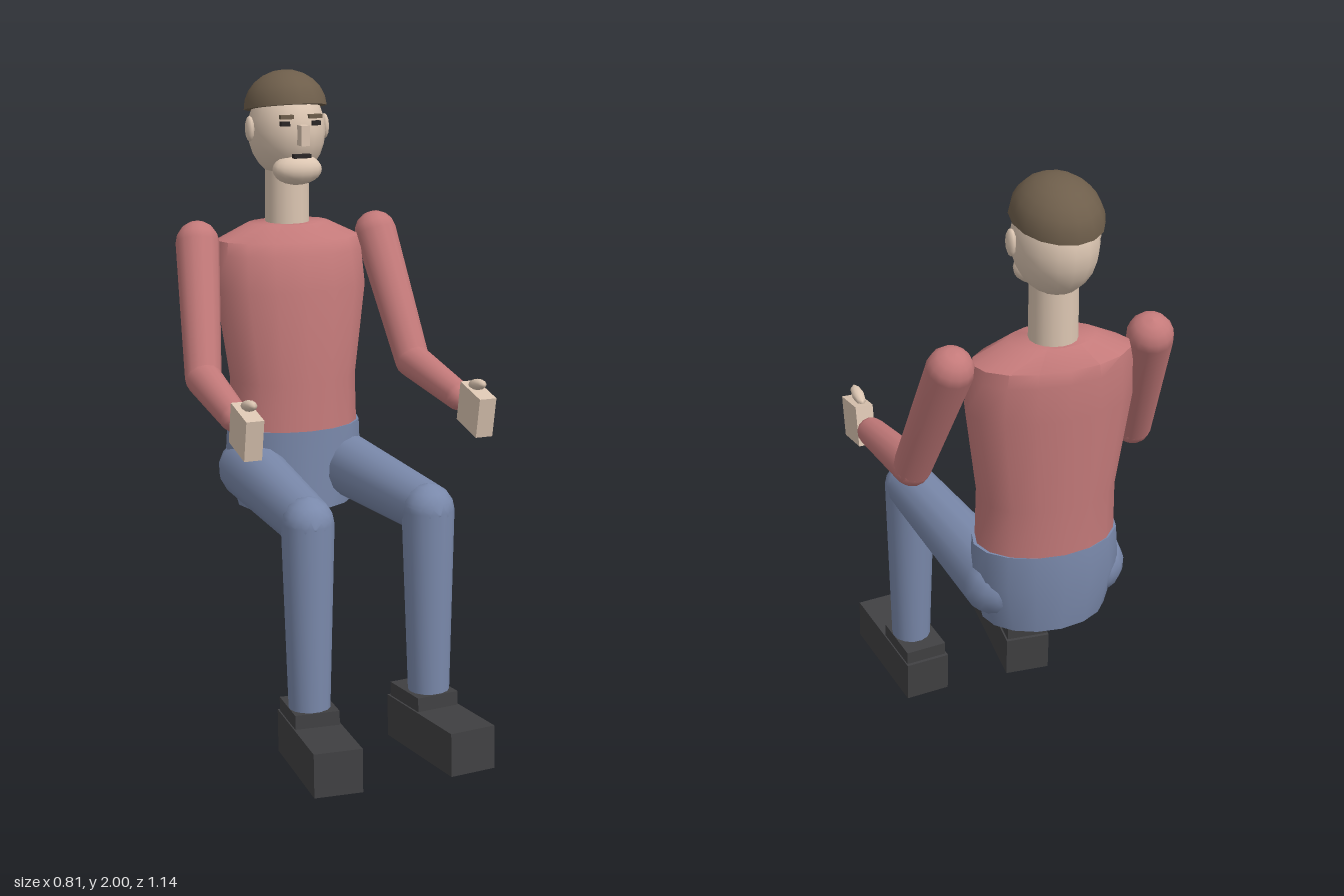
import * as THREE from 'three';
import { toCreasedNormals } from 'three/addons/utils/BufferGeometryUtils.js';

const mat = (color) => new THREE.MeshStandardMaterial({ color });

export function createModel() {
  const model = new THREE.Group();
  const shirt = mat(0xc47a7a), trousers = mat(0x7a89ab), skin = mat(0xdcc6b2);
  const hairMat = mat(0x6e5e4b), shoeMat = mat(0x404042), dark = mat(0x2a2626);

  function add(name, geometry, material, pos = [0, 0, 0], rot = [0, 0, 0]) {
    const mesh = new THREE.Mesh(geometry, material);
    mesh.name = name;
    mesh.position.set(...pos);
    mesh.rotation.set(...rot, 'YXZ');
    model.add(mesh);
    return mesh;
  }
  const box = (name, size, material, pos, rot) =>
    add(name, new THREE.BoxGeometry(...size), material, pos, rot);
  const ball = (name, radii, material, pos, rot, w = 16, h = 12) =>
    add(name, new THREE.SphereGeometry(1, w, h).scale(...radii), material, pos, rot);

  // Body section through elliptical rings [y, half width, half depth, centre z], top first
  function loft(name, rings, material) {
    const n = rings.length - 1;
    const g = new THREE.CylinderGeometry(1, 1, 1, 16, n);
    const p = g.attributes.position;
    for (let i = 0; i < p.count; i++) {
      const [y, rx, rz, cz] = rings[Math.round((0.5 - p.getY(i)) * n)];
      p.setXYZ(i, p.getX(i) * rx, y, p.getZ(i) * rz + cz);
    }
    add(name, toCreasedNormals(g, 0.75), material);
  }

  // Tapered limb with a dome at each end
  function limb(name, a, b, ra, rb, material) {
    const from = new THREE.Vector3(...a), dir = new THREE.Vector3(...b).sub(from);
    const len = dir.length(), pts = [];
    for (let i = 0; i <= 4; i++) {
      const t = (i / 4) * Math.PI / 2;
      pts.push(new THREE.Vector2(Math.sin(t) * ra, -Math.cos(t) * ra));
    }
    for (let i = 0; i <= 4; i++) {
      const t = (i / 4) * Math.PI / 2;
      pts.push(new THREE.Vector2(Math.max(0, Math.cos(t) * rb), len + Math.sin(t) * rb));
    }
    const mesh = add(name, new THREE.LatheGeometry(pts, 14), material, a);
    mesh.quaternion.setFromUnitVectors(new THREE.Vector3(0, 1, 0), dir.normalize());
  }

  // Torso and hips
  loft('torso', [
    [1.53, 0.13, 0.085, -0.405], [1.48, 0.234, 0.132, -0.405], [1.44, 0.243, 0.145, -0.397],
    [1.33, 0.25, 0.155, -0.385], [1.04, 0.207, 0.155, -0.37], [0.89, 0.21, 0.155, -0.365],
  ], shirt);
  loft('hips', [
    [0.89, 0.22, 0.155, -0.365], [0.78, 0.226, 0.158, -0.368], [0.63, 0.19, 0.147, -0.357],
  ], trousers);

  // Neck and head
  add('neck', new THREE.CylinderGeometry(0.068, 0.07, 0.22, 16), skin, [0, 1.6, -0.41]);
  ball('head', [0.119, 0.15, 0.14], skin, [0, 1.815, -0.413]);
  ball('chin', [0.08, 0.048, 0.055], skin, [0, 1.703, -0.318]);
  box('nose', [0.028, 0.062, 0.06], skin, [0, 1.813, -0.272]);
  box('mouth', [0.056, 0.012, 0.02], dark, [0, 1.748, -0.277]);

  // Hair: tilted half dome with a closed underside
  const hairProfile = [new THREE.Vector2(0, 0), new THREE.Vector2(1, 0), new THREE.Vector2(1, 0)];
  for (let i = 1; i <= 6; i++) {
    const t = (i / 6) * Math.PI / 2;
    hairProfile.push(new THREE.Vector2(Math.max(0, Math.cos(t)), Math.sin(t)));
  }
  const hairGeo = toCreasedNormals(new THREE.LatheGeometry(hairProfile, 16), 0.9);
  add('hair', hairGeo.scale(0.127, 0.117, 0.15), hairMat, [0, 1.884, -0.422], [-0.16, 0, 0]);

  for (const s of [1, -1]) {
    const side = s > 0 ? 'left' : 'right';

    // Face pairs
    box(side + 'Brow', [0.042, 0.012, 0.02], hairMat, [s * 0.046, 1.868, -0.285]);
    box(side + 'Eye', [0.028, 0.014, 0.02], dark, [s * 0.05, 1.847, -0.29]);
    ball(side + 'Ear', [0.014, 0.04, 0.024], skin, [s * 0.124, 1.824, -0.405], [0, 0, 0], 8, 6);

    // Arm
    const elbow = [s * 0.349, 1.092, -0.213];
    limb(side + 'UpperArm', [s * 0.3, 1.479, -0.403], elbow, 0.068, 0.056, shirt);
    limb(side + 'Forearm', elbow, [s * 0.36, 1.046, 0.117], 0.056, 0.044, shirt);
    box(side + 'Hand', [0.054, 0.124, 0.138], skin, [s * 0.364, 1.033, 0.23], [0.19, 0, 0]);
    ball(side + 'Thumb', [0.019, 0.017, 0.05], skin, [s * 0.36, 1.111, 0.243], [-0.2, 0, 0], 8, 6);

    // Leg
    const knee = [s * 0.192, 0.75, 0.268];
    limb(side + 'Thigh', [s * 0.152, 0.748, -0.36], knee, 0.1, 0.078, trousers);
    limb(side + 'Shin', knee, [s * 0.194, 0.16, 0.284], 0.079, 0.062, trousers);

    // Shoe
    const turn = [-0.05, s * 0.087, 0];
    box(side + 'Shoe', [0.146, 0.132, 0.395], shoeMat, [s * 0.195, 0.08, 0.367], turn);
    box(side + 'ShoeCollar', [0.136, 0.1, 0.176], shoeMat, [s * 0.187, 0.134, 0.266], turn);
  }
  return model;
}
